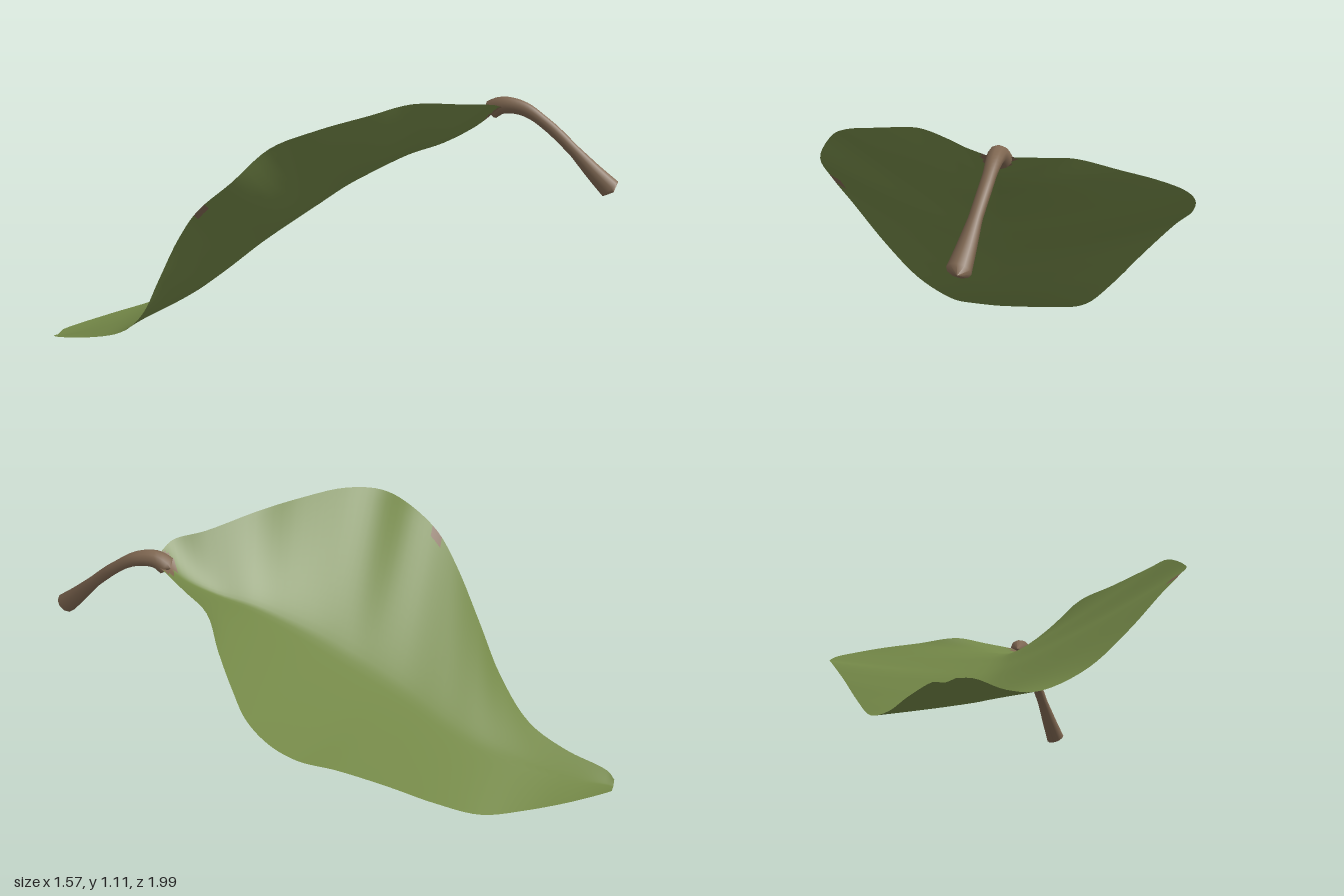
import * as THREE from 'three';

const leafGreen = new THREE.MeshStandardMaterial({ color: 0x738747, side: THREE.DoubleSide });
leafGreen.name = 'leaf green';
const stemBrown = new THREE.MeshStandardMaterial({ color: 0x7f6751, side: THREE.DoubleSide });
stemBrown.name = 'stem brown';

const curve = (pts) => new THREE.CatmullRomCurve3(pts.map((p) => new THREE.Vector3(...p)));

// Leaf outline and midrib, paired station by station from base to tip
const leftMargin = curve([
  [0.44, 1.07, 0.57], [0.36, 1.09, 0.58], [0.24, 1.10, 0.52], [0.02, 1.12, 0.45],
  [-0.20, 1.10, 0.42], [-0.44, 1.07, 0.37], [-0.60, 1.02, 0.30], [-0.73, 0.91, 0.24],
  [-0.78, 0.80, 0.12], [-0.775, 0.67, 0.00], [-0.74, 0.46, -0.17], [-0.69, 0.27, -0.34],
  [-0.65, 0.13, -0.54], [-0.67, 0.065, -0.73], [-0.71, 0.03, -0.92], [-0.69, 0.02, -0.97],
]);
const midrib = curve([
  [0.47, 1.06, 0.54], [0.42, 0.98, 0.46], [0.34, 0.91, 0.36], [0.26, 0.86, 0.25],
  [0.18, 0.79, 0.14], [0.11, 0.72, 0.04], [0.04, 0.64, -0.05], [-0.03, 0.56, -0.14],
  [-0.11, 0.46, -0.25], [-0.20, 0.33, -0.38], [-0.29, 0.22, -0.50], [-0.38, 0.14, -0.62],
  [-0.47, 0.08, -0.74], [-0.56, 0.04, -0.86], [-0.64, 0.015, -0.95], [-0.66, 0.01, -0.985],
]);
const rightMargin = curve([
  [0.50, 1.06, 0.51], [0.53, 1.04, 0.34], [0.56, 1.02, 0.18], [0.65, 0.97, 0.03],
  [0.73, 0.92, -0.12], [0.78, 0.87, -0.24], [0.775, 0.815, -0.34], [0.72, 0.75, -0.42],
  [0.60, 0.67, -0.50], [0.40, 0.50, -0.58], [0.20, 0.32, -0.66], [0.00, 0.17, -0.75],
  [-0.20, 0.10, -0.83], [-0.40, 0.06, -0.92], [-0.57, 0.03, -0.985], [-0.62, 0.02, -1.0],
]);

// Brown blemishes: one at the base, one on the left margin
const spots = [
  { at: new THREE.Vector3(0.47, 1.05, 0.53), r: 0.065 },
  { at: new THREE.Vector3(-0.77, 0.80, 0.11), r: 0.042 },
];

function leafBlade() {
  const rows = 75, half = 16, W = 2 * half + 1;
  const pos = [], green = [], brown = [];
  for (let i = 0; i <= rows; i++) {
    const t = i / rows;
    const m = midrib.getPoint(t), l = leftMargin.getPoint(t), r = rightMargin.getPoint(t);
    for (let j = -half; j <= half; j++) {
      const s = Math.abs(j) / half;
      const p = m.clone().lerp(j < 0 ? l : r, s);
      // Round the fold along the midrib
      p.y = m.y + ((j < 0 ? l.y : r.y) - m.y) * Math.pow(s, 1.25);
      pos.push(p.x, p.y, p.z);
    }
  }
  for (let i = 0; i < rows; i++) {
    for (let j = 0; j < W - 1; j++) {
      const a = i * W + j, c = a + W;
      const centre = new THREE.Vector3();
      for (const k of [a, a + 1, c, c + 1]) {
        centre.add(new THREE.Vector3().fromArray(pos, k * 3).multiplyScalar(0.25));
      }
      const list = spots.some((q) => centre.distanceTo(q.at) < q.r) ? brown : green;
      list.push(a, a + 1, c, a + 1, c + 1, c);
    }
  }
  const g = new THREE.BufferGeometry();
  g.setAttribute('position', new THREE.Float32BufferAttribute(pos, 3));
  g.setIndex([...green, ...brown]);
  g.addGroup(0, green.length, 0);
  g.addGroup(green.length, brown.length, 1);
  g.computeVertexNormals();
  return g;
}

function stemTube() {
  const path = curve([
    [0.65, 0.75, 0.975], [0.625, 0.82, 0.90], [0.595, 0.91, 0.81], [0.56, 1.0, 0.71],
    [0.52, 1.06, 0.62], [0.48, 1.07, 0.545], [0.46, 1.04, 0.49],
  ]);
  const segs = 36, sides = 10;
  const g = new THREE.TubeGeometry(path, segs, 1, sides);
  const pos = g.attributes.position, v = new THREE.Vector3();
  // Swollen foot, slim middle, slight flare where it meets the blade
  const radius = (t) => (t === 0 || t === 1 ? 0.001
    : 0.024 + 0.02 * Math.max(0, 1 - t / 0.35) + 0.016 * Math.max(0, (t - 0.65) / 0.35));
  for (let i = 0; i <= segs; i++) {
    const c = path.getPointAt(i / segs);
    for (let j = 0; j <= sides; j++) {
      const k = i * (sides + 1) + j;
      v.fromBufferAttribute(pos, k).sub(c).multiplyScalar(radius(i / segs)).add(c);
      pos.setXYZ(k, v.x, v.y, v.z);
    }
  }
  return g;
}

export function createModel() {
  const leaf = new THREE.Group();
  leaf.name = 'leaf';
  const blade = new THREE.Mesh(leafBlade(), [leafGreen, stemBrown]);
  blade.name = 'blade';
  const stem = new THREE.Mesh(stemTube(), stemBrown);
  stem.name = 'stem';
  leaf.add(blade, stem);
  return leaf;
}
